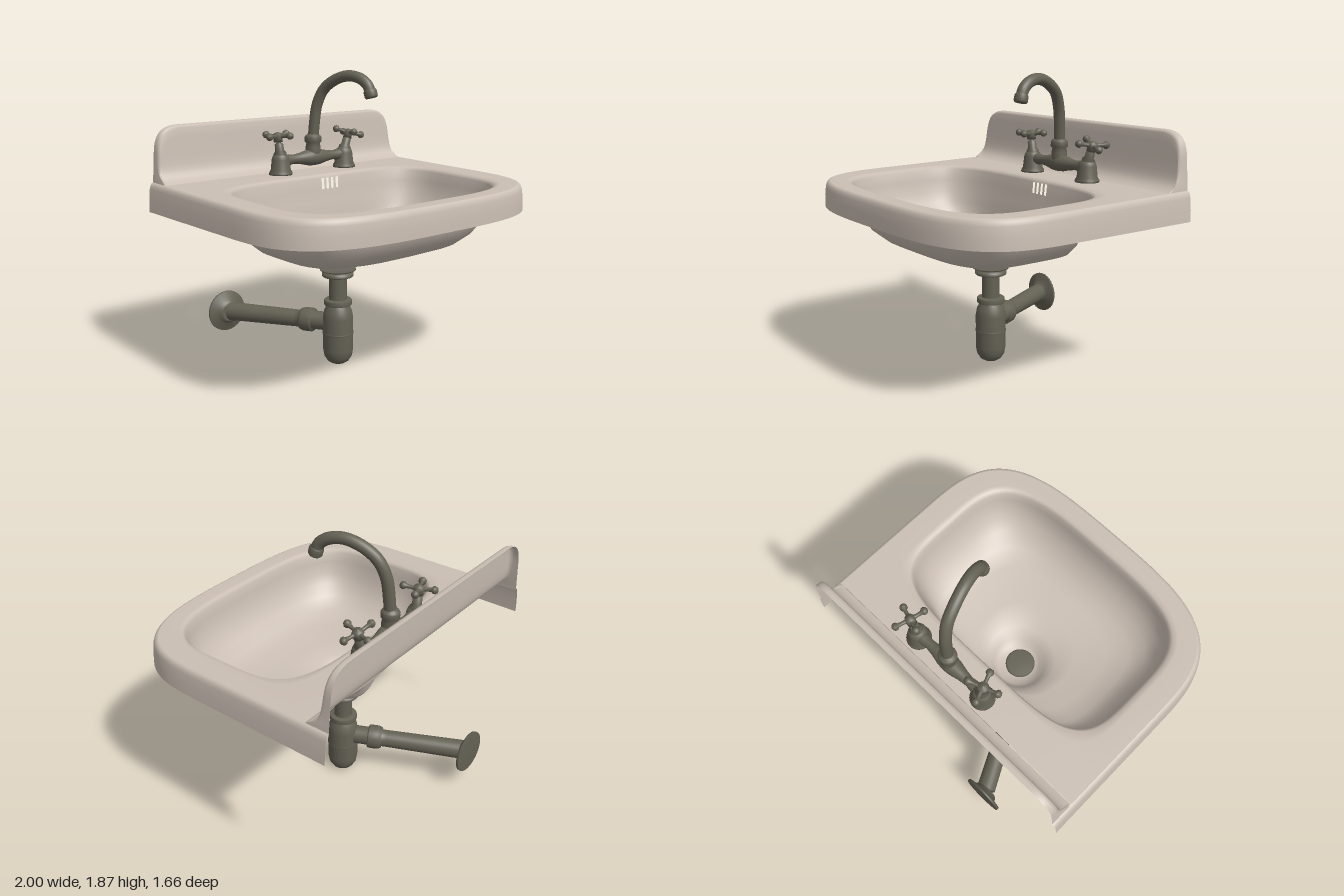
import * as THREE from 'three';

const ceramic = new THREE.MeshStandardMaterial({ color: 0xcbbfb4, side: THREE.DoubleSide });
ceramic.name = 'warm ceramic';
const metal = new THREE.MeshStandardMaterial({ color: 0x646154, side: THREE.DoubleSide });
metal.name = 'aged metal';

const V = (x, y, z) => new THREE.Vector3(x, y, z);

function add(parent, name, geometry, material) {
  const mesh = new THREE.Mesh(geometry, material);
  mesh.name = name;
  parent.add(mesh);
  return mesh;
}

// Surface through rows of points; skip(row, column) leaves an opening
function skin(rows, skip = () => false) {
  const n = rows[0].length;
  const index = [];
  for (let j = 0; j < rows.length - 1; j++) {
    for (let i = 0; i < n - 1; i++) {
      if (skip(j, i)) continue;
      const a = j * n + i, b = a + n;
      index.push(a, b, a + 1, a + 1, b, b + 1);
    }
  }
  const g = new THREE.BufferGeometry().setFromPoints(rows.flat());
  g.setIndex(index);
  g.computeVertexNormals();
  return g;
}

// Rounded outline; front and back halves have their own squareness
const SEG = 256;
const deckY = z => 1.193 - 0.012 * z;
function ring(x0, x1, z0, z1, y, front, back, zc = (z0 + z1) / 2, from = 0, to = SEG) {
  const pts = [];
  for (let i = from; i <= to; i++) {
    const t = (i / SEG) * Math.PI * 2, c = Math.cos(t), s = Math.sin(t);
    const n = s > 0 ? front : back;
    const k = n > 50 ? 1 / Math.max(Math.abs(c), Math.abs(s))
      : (Math.abs(c) ** n + Math.abs(s) ** n) ** (-1 / n);
    const z = zc + s * k * (s > 0 ? z1 - zc : zc - z0);
    pts.push(V((x0 + x1) / 2 + c * k * (x1 - x0) / 2, y > 1.15 ? y - 1.193 + deckY(z) : y, z));
  }
  return pts;
}

// Turned part: points are [radius, height]
const turned = (pts, sides = 32) =>
  new THREE.LatheGeometry(pts.map(p => new THREE.Vector2(p[0], p[1])), sides);

// Turned part laid from a to b; points are [radius, distance from a]
function turnedAlong(parent, name, a, b, pts) {
  const m = add(parent, name, turned(pts), metal);
  m.position.copy(a);
  m.quaternion.setFromUnitVectors(V(0, 1, 0), b.clone().sub(a).normalize());
  return m;
}

function buildBasin(root) {
  const g = new THREE.Group();
  g.name = 'basin';
  root.add(g);

  // Deck, bowl and drain well, with four overflow slots in the rear wall
  const bowl = [
    ring(-0.965, 0.965, -0.61, 0.795, 1.193, 3.4, 99, 0.1),
    ring(-0.83, 0.83, -0.39, 0.71, 1.193, 3.5, 6),
    ...[
      [-0.80, 0.80, -0.368, 0.685, 1.187],
      [-0.782, 0.782, -0.355, 0.668, 1.168],
      [-0.776, 0.776, -0.348, 0.664, 1.10],
      [-0.76, 0.757, -0.333, 0.652, 1.02],
      [-0.735, 0.725, -0.322, 0.625, 0.95],
      [-0.69, 0.675, -0.315, 0.58, 0.88],
      [-0.61, 0.60, -0.307, 0.51, 0.82],
    ].map(r => ring(...r, 3.6, 4.4)),
    ring(-0.49, 0.49, -0.30, 0.42, 0.785, 3, 3.4),
    ring(-0.35, 0.29, -0.293, 0.26, 0.766, 2.5, 2.6),
    ring(-0.27, 0.17, -0.28, 0.13, 0.742, 2.2, 2.2),
    ring(-0.22, 0.12, -0.262, 0.07, 0.69, 2, 2),
    ring(-0.185, 0.085, -0.235, 0.04, 0.65, 2, 2),
    ring(-0.14, 0.04, -0.17, 0.01, 0.635, 2, 2),
    ring(-0.06, -0.04, -0.09, -0.07, 0.632, 2, 2),
  ];
  const slots = [194, 196, 198, 200];
  add(g, 'bowl', skin(bowl, (j, i) => j === 3 && slots.includes(i)), ceramic);

  // Skirt around the sides and front, open at the back
  const skirt = [
    [1, 0.825, 1.02], [0.997, 0.825, 1.09], [0.99, 0.82, 1.155],
    [0.984, 0.814, 1.177], [0.975, 0.805, 1.189], [0.965, 0.795, 1.193],
  ].map(([a, z, y]) => ring(-a, a, -0.765, z, y, 3.4, 99, 0.1, -SEG / 8, SEG * 5 / 8));
  add(g, 'skirt', skin(skirt), ceramic);

  // Splashback: coved face, rounded edge and return flange
  const edge = new THREE.Path();
  edge.moveTo(-0.966, 1.19);
  edge.lineTo(-0.95, 1.40);
  edge.bezierCurveTo(-0.94, 1.5, -0.90, 1.55, -0.78, 1.55);
  edge.lineTo(0.78, 1.55);
  edge.bezierCurveTo(0.90, 1.55, 0.94, 1.5, 0.95, 1.40);
  edge.lineTo(0.966, 1.19);
  const cove = y => -0.69 - 0.085 * (y - 1.2) + 0.085 * Math.exp((1.195 - y) / 0.03);
  const columns = edge.getSpacedPoints(140).map(p => {
    const qx = p.x * 0.985, qy = Math.max(1.198, p.y - 0.018);
    const col = [];
    for (let k = 0; k <= 12; k++) {
      const y = 1.198 + (qy - 1.198) * (k / 12) ** 2;
      col.push(V(qx, y, cove(y)));
    }
    const z = cove(qy);
    col.push(V(p.x * 0.995, p.y - 0.005, z - 0.008), V(p.x, p.y, z - 0.024), V(p.x, p.y, -0.765));
    return col;
  });
  add(g, 'splashback', skin(columns), ceramic);

  // Drain plate
  const drain = add(g, 'drain', turned([[0, 0.018], [0.085, 0.018], [0.095, 0.01], [0.095, 0]]), metal);
  drain.position.set(-0.05, 0.638, -0.085);
}

// Cross handle with four knobbed arms
function buildHandle(parent, x, y, tilt, spin) {
  const h = new THREE.Group();
  h.name = 'crossHandle';
  h.position.set(x, y, -0.52);
  h.rotation.set(0, spin, tilt, 'ZYX');
  parent.add(h);
  add(h, 'hub', turned([[0, -0.04], [0.03, -0.035], [0.028, -0.015], [0.036, 0], [0.028, 0.02], [0, 0.03]], 20), metal);
  for (let i = 0; i < 4; i++) {
    const a = i * Math.PI / 2;
    turnedAlong(h, 'handleArm', V(0, 0, 0), V(Math.cos(a), 0.08, Math.sin(a)),
      [[0.016, 0], [0.011, 0.05], [0.013, 0.075], [0.023, 0.086], [0.024, 0.098], [0.016, 0.112], [0, 0.117]]);
  }
}

function buildFaucet(root) {
  const f = new THREE.Group();
  f.name = 'faucet';
  root.add(f);
  const zf = -0.52, xc = 0.098;

  // Valve pillars and their handles
  for (const [x, lean, hy, spin] of [[-0.17, -0.018, 1.45, 0.35], [0.365, 0.04, 1.43, -0.3]]) {
    const pillar = add(f, 'valvePillar', turned([
      [0, 0], [0.077, 0], [0.077, 0.012], [0.066, 0.03], [0.058, 0.1], [0.05, 0.125], [0.03, 0.14], [0, 0.145],
    ]), metal);
    pillar.position.set(x, 1.2, zf);
    turnedAlong(f, 'valveStem', V(x, 1.31, zf), V(x + lean, hy, zf),
      [[0.04, 0], [0.042, 0.03], [0.03, 0.045], [0.028, 0.09], [0, 0.11]]);
    buildHandle(f, x + lean, hy, x > 0 ? -0.28 : 0.03, spin);
  }

  // Bridge swelling toward the middle
  turnedAlong(f, 'bridge', V(-0.17, 1.29, zf), V(0.365, 1.29, zf), [
    [0.038, 0], [0.036, 0.07], [0.03, 0.1], [0.038, 0.16], [0.052, 0.22], [0.056, 0.268],
    [0.052, 0.315], [0.038, 0.375], [0.03, 0.435], [0.036, 0.465], [0.038, 0.535],
  ]);

  // Spout collar, gooseneck and outlet
  const collar = add(f, 'spoutCollar', turned([
    [0.05, 0], [0.05, 0.05], [0.045, 0.075], [0.056, 0.085], [0.056, 0.115], [0.05, 0.125], [0.03, 0.14],
  ]), metal);
  collar.position.set(xc, 1.31, zf);
  const path = new THREE.CatmullRomCurve3([
    V(xc, 1.4, zf), V(0.105, 1.52, -0.512), V(0.115, 1.64, -0.495), V(0.135, 1.74, -0.45),
    V(0.16, 1.805, -0.365), V(0.19, 1.836, -0.26), V(0.215, 1.82, -0.17),
    V(0.228, 1.78, -0.115), V(0.233, 1.735, -0.095),
  ]);
  add(f, 'spout', new THREE.TubeGeometry(path, 64, 0.036, 20), metal);
  turnedAlong(f, 'spoutOutlet', V(0.232, 1.755, -0.1), V(0.236, 1.7, -0.085),
    [[0.036, 0], [0.043, 0.01], [0.043, 0.045], [0.036, 0.055], [0, 0.05]]);
}

function buildTrap(root) {
  const t = new THREE.Group();
  t.name = 'trap';
  root.add(t);

  // Tailpipe, nut and bottle in one turned profile
  const bottle = add(t, 'bottleTrap', turned([
    [0, 0], [0.045, 0.002], [0.07, 0.018], [0.09, 0.05], [0.098, 0.095], [0.098, 0.198], [0.101, 0.202],
    [0.101, 0.21], [0.098, 0.214], [0.098, 0.31], [0.09, 0.355], [0.072, 0.39], [0.07, 0.395],
    [0.088, 0.396], [0.09, 0.4], [0.09, 0.425], [0.086, 0.43], [0.06, 0.431], [0.058, 0.435], [0.058, 0.58],
    [0.06, 0.584], [0.098, 0.585], [0.102, 0.59], [0.102, 0.608], [0.085, 0.612], [0.085, 0.622],
    [0.115, 0.626], [0.115, 0.634], [0, 0.636],
  ], 40), metal);
  bottle.position.set(-0.05, 0, -0.08);

  // Waste pipe with coupling nut
  const a = V(-0.05, 0.272, -0.08), b = V(-0.425, 0.248, -0.81);
  turnedAlong(t, 'wastePipe', a, b, [
    [0.06, 0], [0.06, 0.17], [0.074, 0.172], [0.078, 0.18], [0.078, 0.235], [0.07, 0.26], [0.056, 0.265],
    [0.056, 0.3], [0.062, 0.8],
  ]);

  // Wall flange
  turnedAlong(t, 'wallFlange', V(-0.425, 0.245, -0.835), V(-0.425, 0.245, 0),
    [[0, 0], [0.137, 0], [0.139, 0.006], [0.137, 0.018], [0.09, 0.026], [0.072, 0.05], [0.06, 0.055]]);
}

export function createModel() {
  const root = new THREE.Group();
  root.name = 'washbasin';
  buildBasin(root);
  buildFaucet(root);
  buildTrap(root);
  return root;
}
